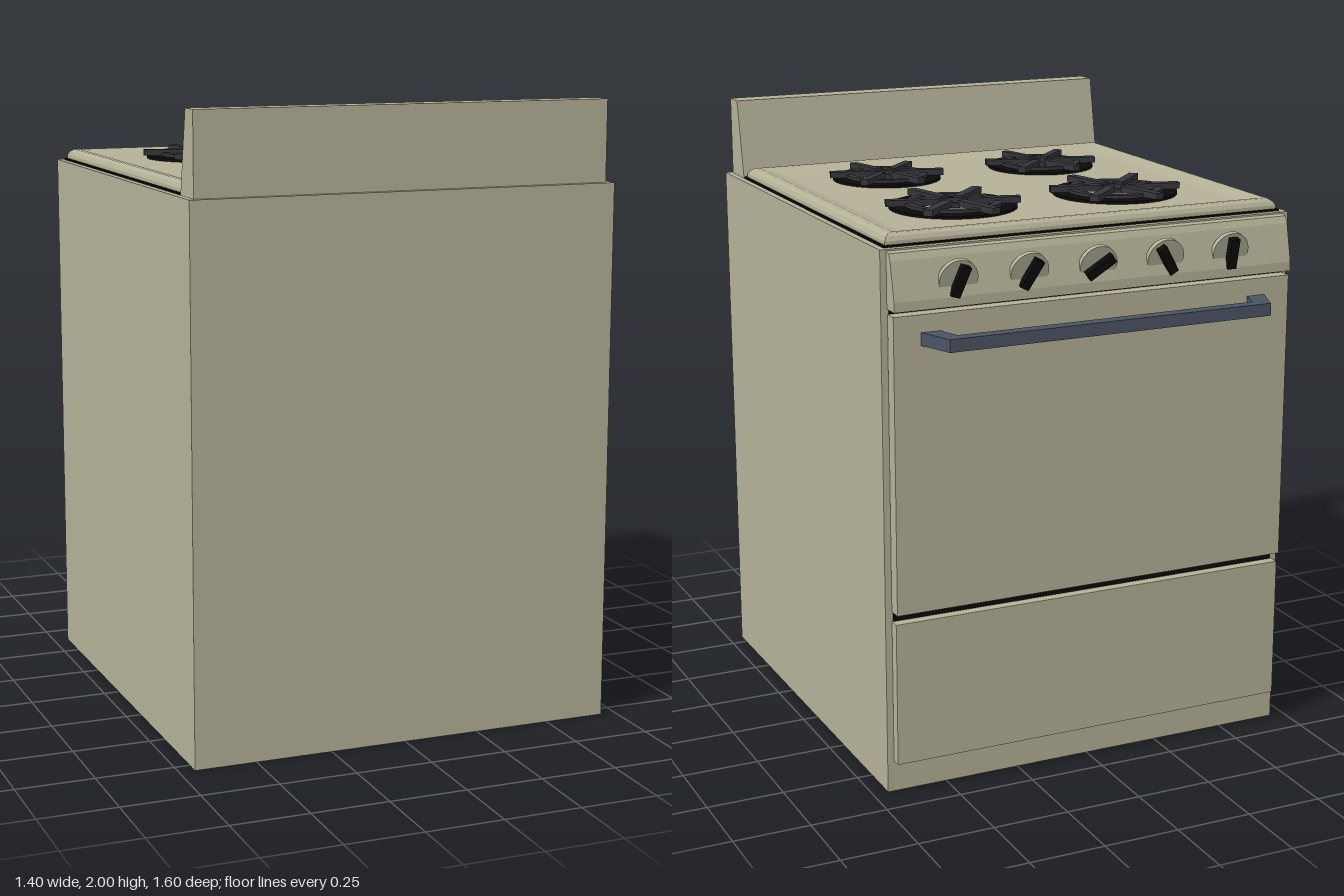
import * as THREE from 'three';

const mat = (name, color, side = THREE.FrontSide) => {
  const m = new THREE.MeshStandardMaterial({ color, side });
  m.name = name;
  return m;
};

export function createModel() {
  const enamel = mat('enamel', 0xb4b197);
  const shell = enamel; // same colour everywhere on the cabinet
  shell.side = THREE.DoubleSide;
  const black = mat('black', 0x0a0a0b);
  const iron = mat('cast iron', 0x36353b);
  const steel = mat('handle blue grey', 0x4b5364);

  const model = new THREE.Group();
  model.name = 'stove';

  const add = (name, geo, material, parent = model) => {
    const mesh = new THREE.Mesh(geo, material);
    mesh.name = name;
    parent.add(mesh);
    return mesh;
  };
  // Box given by its limits
  const box = (name, x0, x1, y0, y1, z0, z1, material) => {
    const geo = new THREE.BoxGeometry(x1 - x0, y1 - y0, z1 - z0);
    geo.translate((x0 + x1) / 2, (y0 + y1) / 2, (z0 + z1) / 2);
    return add(name, geo, material);
  };
  // Side profile of [z, y] points, extruded across x
  const sideProfile = (name, points, halfWidth) => {
    const shape = new THREE.Shape(points.map(([z, y]) => new THREE.Vector2(-z, y)));
    const geo = new THREE.ExtrudeGeometry(shape, { depth: halfWidth * 2, bevelEnabled: false });
    geo.translate(0, 0, -halfWidth);
    geo.rotateY(Math.PI / 2);
    return add(name, geo, enamel);
  };

  // Cabinet: hollow and open underneath
  const cabinet = box('cabinet', -0.7, 0.7, 0, 1.74, -0.637, 0.8, shell);
  const index = Array.from(cabinet.geometry.index.array);
  index.splice(18, 6); // drop the bottom face
  cabinet.geometry.setIndex(index);
  cabinet.geometry.clearGroups();

  // Raised back panel with a sloping face
  sideProfile('backsplash', [[0.78, 1.74], [0.78, 2], [0.71, 2], [0.66, 1.74]], 0.68);

  // Dark recess behind door and drawer, and dark seam round the cooktop
  box('frontRecess', -0.675, 0.675, 0.105, 1.72, -0.642, -0.636, black);
  box('cooktopSeam', -0.68, 0.68, 1.738, 1.746, -0.616, 0.655, black);

  // Door and drawer fronts with dark undersides
  const faces = [enamel, enamel, enamel, black, enamel, enamel];
  box('ovenDoor', -0.68, 0.68, 0.605, 1.545, -0.686, -0.641, faces);
  box('drawer', -0.68, 0.68, 0.105, 0.572, -0.675, -0.641, faces);

  // Sloping control panel
  sideProfile('controlPanel', [[-0.636, 1.56], [-0.636, 1.735], [-0.657, 1.731],
    [-0.667, 1.71], [-0.694, 1.59], [-0.694, 1.56]], 0.68);

  // Cooktop: rectangular rings from the outer rim into a shallow dish [inset, y]
  const rings = [[0, 1.744], [0, 1.757], [0.007, 1.77], [0.02, 1.778], [0.035, 1.778],
    [0.075, 1.768], [0.09, 1.766]];
  const pos = [];
  const quad = (a, b, c, d) => pos.push(...a, ...b, ...c, ...a, ...c, ...d);
  const ringCorners = ([i, y]) => [[-0.672 + i, y, 0.645 - i], [0.672 - i, y, 0.645 - i],
    [0.672 - i, y, -0.608 + i], [-0.672 + i, y, -0.608 + i]];
  for (let r = 0; r < rings.length - 1; r++) {
    const lo = ringCorners(rings[r]), hi = ringCorners(rings[r + 1]);
    for (let k = 0; k < 4; k++) {
      const n = (k + 1) % 4;
      quad(lo[k], lo[n], hi[n], hi[k]);
    }
  }
  quad(...ringCorners(rings[rings.length - 1]));
  const topGeo = new THREE.BufferGeometry();
  topGeo.setAttribute('position', new THREE.Float32BufferAttribute(pos, 3));
  topGeo.computeVertexNormals();
  add('cooktop', topGeo, enamel);

  // Flat-sided ring with a square section
  const ring = (inner, outer, y0, y1) => new THREE.LatheGeometry(
    [[inner, y0], [outer, y0], [outer, y1], [inner, y1], [inner, y0]]
      .map(([r, y]) => new THREE.Vector2(r, y)), 40).toNonIndexed();

  // Burners: black bowl, iron rings and six spokes
  const burner = (x, z, s) => {
    const g = new THREE.Group();
    g.name = 'burner';
    g.position.set(x, 0, z);
    model.add(g);
    const parts = [
      ['bowl', ring(0.095 * s, 0.204 * s, 1.764, 1.775), black],
      ['outerGrateRing', ring(0.13 * s, 0.155 * s, 1.77, 1.785), iron],
      ['innerGrateRing', ring(0.038 * s, 0.052 * s, 1.772, 1.788), iron],
    ];
    for (const [name, geo, material] of parts) {
      geo.computeVertexNormals();
      add(name, geo, material, g);
    }
    for (let k = 0; k < 6; k++) {
      const geo = new THREE.BoxGeometry(0.172 * s, 0.02, 0.031 * s);
      geo.translate(0.129 * s, 1.785, 0);
      geo.rotateY(-(15 + 60 * k) * Math.PI / 180);
      add('grateSpoke', geo, iron, g);
    }
  };
  for (const x of [-0.285, 0.29]) {
    burner(x, -0.24, 1);
    burner(x, 0.315, 0.89);
  }

  // Knobs: enamel dial with a black grip, turned by differing angles
  const knobs = [[-0.462, 0], [-0.23, -32], [0.003, 55], [0.236, 28], [0.47, 18]];
  for (const [x, turn] of knobs) {
    const g = new THREE.Group();
    g.name = 'knob';
    g.position.set(x, 1.642, -0.683);
    g.rotation.x = -0.22;
    model.add(g);
    const dial = new THREE.CylinderGeometry(0.063, 0.063, 0.016, 32);
    dial.rotateX(Math.PI / 2);
    add('dial', dial, enamel, g);
    const grip = add('grip', new THREE.BoxGeometry(0.03, 0.1, 0.026), black, g);
    grip.position.z = -0.017;
    grip.rotation.z = turn * Math.PI / 180;
  }

  // Door handle: flat bar with slanted ends
  const handle = new THREE.Shape([[-0.592, 0.685], [-0.548, 0.8], [0.548, 0.8], [0.592, 0.685],
    [0.53, 0.685], [0.505, 0.758], [-0.505, 0.758], [-0.53, 0.685]]
    .map(([x, y]) => new THREE.Vector2(x, y)));
  const handleGeo = new THREE.ExtrudeGeometry(handle, { depth: 0.04, bevelEnabled: false });
  handleGeo.rotateX(-Math.PI / 2);
  handleGeo.translate(0, 1.45, 0);
  add('doorHandle', handleGeo, steel);

  return model;
}
